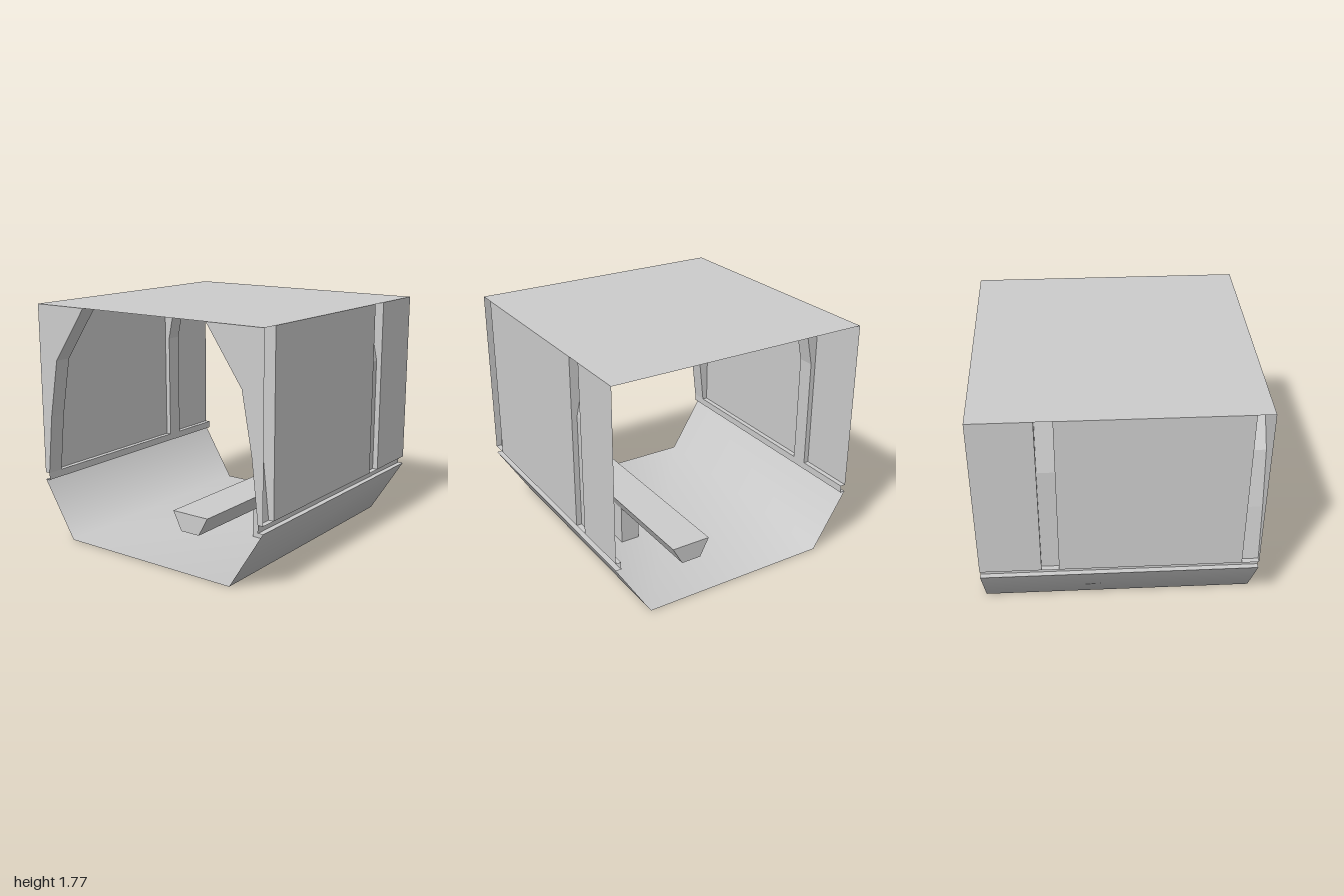
import * as THREE from 'three';

const material = new THREE.MeshStandardMaterial({ color: 0xcccccc, side: THREE.DoubleSide });
const TOP = 1.77, SILL = 0.485, RIM = 0.43, IN = 0.96;

function mesh(name, geometry) {
  const m = new THREE.Mesh(geometry, material);
  m.name = name;
  return m;
}

// Thin sheet: a [z, y] polyline swept from x0 to x1
function sheet(name, points, x0, x1, smooth = false) {
  const pos = [], index = [];
  points.forEach(([z, y], i) => {
    pos.push(x0, y, z, x1, y, z);
    if (i > 0) {
      const a = 2 * i - 2;
      index.push(a, a + 2, a + 1, a + 1, a + 2, a + 3);
    }
  });
  let g = new THREE.BufferGeometry();
  g.setAttribute('position', new THREE.Float32BufferAttribute(pos, 3));
  g.setIndex(index);
  if (!smooth) g = g.toNonIndexed();
  g.computeVertexNormals();
  return mesh(name, g);
}

const shapeOf = pts => new THREE.Shape(pts.map(p => new THREE.Vector2(...p)));

// Recess pressed into the wall: sloping back plus two flat cheeks
function recess(name, profile, x0, x1) {
  const group = new THREE.Group();
  group.name = name;
  group.add(sheet(name + 'Back', profile, x0, x1));
  const outline = [[1, TOP], ...profile, [1, SILL]];
  for (const x of [x0, x1]) {
    const cheek = mesh(name + 'Cheek', new THREE.ShapeGeometry(shapeOf(outline)).rotateY(-Math.PI / 2));
    cheek.position.x = x;
    group.add(cheek);
  }
  return group;
}

function sideWall(name) {
  const side = new THREE.Group();
  side.name = name;
  // Wall panels between the recesses
  for (const [x0, x1] of [[-0.875, 0.435], [0.56, 1]])
    side.add(sheet('wallPanel', [[1, TOP], [1, SILL]], x0, x1));
  side.add(recess('wideRecess', [[0.545, TOP], [0.83, 1.365], [0.91, 0.93], [IN, SILL]], -1, -0.875));
  side.add(recess('narrowRecess', [[0.865, TOP], [IN, 1.33], [IN, SILL]], 0.435, 0.56));
  // Groove between the wall and the lower hull
  side.add(sheet('sillGroove', [[1, SILL], [IN, SILL], [IN, RIM], [1, RIM]], -1, 1));
  return side;
}

export function createModel() {
  const model = new THREE.Group();
  model.name = 'openCompartment';

  model.add(sheet('roof', [[-1, TOP], [1, TOP]], -1, 1));

  // Matching walls front and back
  const back = sideWall('backWall');
  back.scale.z = -1;
  model.add(sideWall('frontWall'), back);

  // Smooth-shaded lower hull
  model.add(sheet('lowerHull', [[1, RIM], [0.73, 0], [-0.73, 0], [-1, RIM]], -1, 1, true));

  // Bench running the full length on a central foot
  const seat = new THREE.ExtrudeGeometry(
    shapeOf([[0.55, 0.44], [0.255, 0.44], [0.325, 0.305], [0.475, 0.305]]),
    { depth: 2, bevelEnabled: false });
  model.add(mesh('benchSeat', seat.translate(0, 0, -1).rotateY(-Math.PI / 2)));
  const foot = mesh('benchFoot', new THREE.BoxGeometry(0.28, 0.305, 0.15));
  foot.position.set(0, 0.1525, 0.4);
  model.add(foot);

  return model;
}
